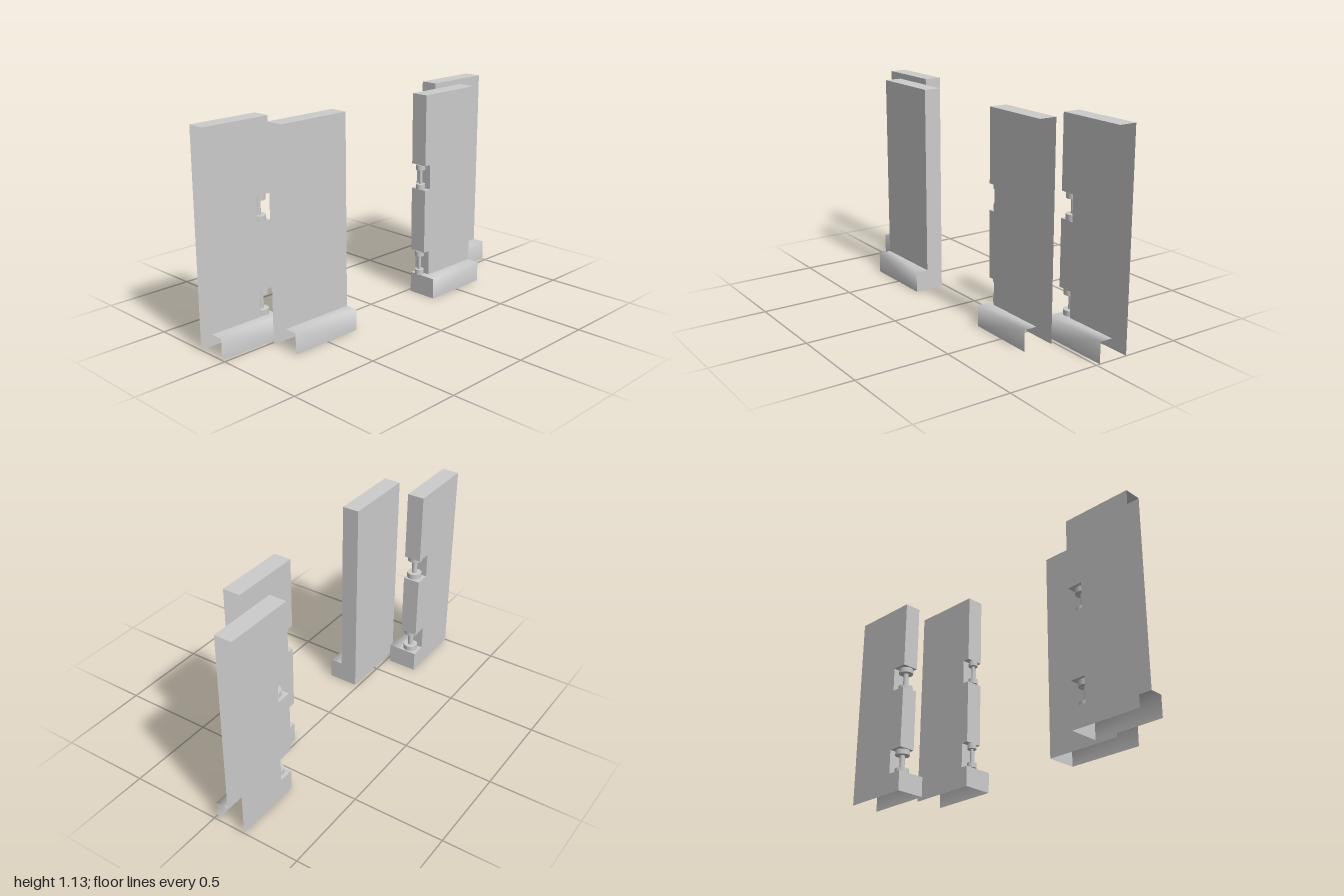
import * as THREE from 'three';
import { mergeGeometries } from 'three/addons/utils/BufferGeometryUtils.js';

const HEIGHT = 1.127, BASE = 0.113, DEPTH = 0.095, LIP = 0.165;
const NOTCHES = [[BASE, 0.25], [0.605, 0.742]];

const material = new THREE.MeshStandardMaterial({ color: 0xcccccc, side: THREE.DoubleSide });

function mesh(geometry, name) {
  const m = new THREE.Mesh(geometry, material);
  m.name = name;
  return m;
}

// Strip of quads swept along x through (y, z) points; smooth across its folds
function strip(points, x0, x1) {
  const position = [], index = [];
  points.forEach(([y, z], i) => {
    position.push(x0, y, z, x1, y, z);
    if (i) index.push(2 * i - 2, 2 * i, 2 * i - 1, 2 * i - 1, 2 * i, 2 * i + 1);
  });
  const g = new THREE.BufferGeometry();
  g.setAttribute('position', new THREE.Float32BufferAttribute(position, 3));
  g.setIndex(index);
  g.computeVertexNormals();
  return g;
}

// Flat face in the xy plane with the notches cut into its inner edge
function wall(width, bottom, notch) {
  const s = new THREE.Shape();
  s.moveTo(0, bottom);
  if (notch) {
    for (const [a, b] of NOTCHES) {
      if (a > bottom) s.lineTo(0, a);
      s.lineTo(notch, a);
      s.lineTo(notch, b);
      s.lineTo(0, b);
    }
  }
  s.lineTo(0, HEIGHT);
  s.lineTo(width, HEIGHT);
  s.lineTo(width, bottom);
  s.closePath();
  return new THREE.ShapeGeometry(s);
}

// Flat face across the depth (z, y outline) at a given x, facing the inner side
function endFace(points, x) {
  const g = new THREE.ShapeGeometry(new THREE.Shape(points.map(([z, y]) => new THREE.Vector2(z, y))));
  return g.rotateY(-Math.PI / 2).translate(x, 0, 0);
}
const endRect = (y0, y1, x) => endFace([[0, y0], [DEPTH, y0], [DEPTH, y1], [0, y1]], x);

function hinge(x, z, r, y0, y1) {
  const g = new THREE.Group();
  g.name = 'hinge';
  const h = 0.029;
  for (const y of [y0 + h / 2, y1 - h / 2]) {
    const knuckle = mesh(new THREE.CylinderGeometry(r, r, h, 24), 'hingeKnuckle');
    knuckle.position.set(x, y, z);
    g.add(knuckle);
  }
  const pin = mesh(new THREE.CylinderGeometry(r * 0.37, r * 0.37, y1 - y0 - 2 * h, 20, 1, true), 'hingePin');
  pin.position.set(x, (y0 + y1) / 2, z);
  g.add(pin);
  return g;
}

// Hollow panel, open at the bottom and outer end; x runs from the inner end outwards
function panel(name, width, notch, pivot) {
  const g = new THREE.Group();
  g.name = name;
  g.add(mesh(wall(width, BASE, notch).translate(0, 0, DEPTH), 'frontFace'));
  const back = wall(width, 0, notch);
  back.index.array.reverse();
  for (let i = 0; i < back.attributes.normal.count; i++) back.attributes.normal.setZ(i, -1);
  g.add(mesh(back, 'backFace'));
  g.add(mesh(strip([[HEIGHT, 0], [HEIGHT, DEPTH]], 0, width), 'topFace'));

  // Softly shaded foot in front of the panel
  g.add(mesh(strip([[BASE, DEPTH], [BASE, LIP], [0, LIP]], 0, width), 'baseLip'));

  // Inner end, interrupted by the notches
  const ends = [endFace([[0, 0], [LIP, 0], [LIP, BASE], [0, BASE]], 0)];
  let y = BASE;
  if (notch) {
    for (const [a, b] of NOTCHES) {
      if (a > y) ends.push(endRect(y, a, 0));
      y = b;
    }
  }
  ends.push(endRect(y, HEIGHT, 0));
  g.add(mesh(mergeGeometries(ends), 'innerEnd'));

  // Notch linings and hinges
  if (notch) {
    for (const [a, b] of NOTCHES) {
      g.add(mesh(endRect(a, b, notch), 'notchWall'));
      g.add(mesh(strip([[a, 0], [a, DEPTH]], 0, notch), 'notchFloor'));
      g.add(mesh(strip([[b, DEPTH], [b, 0]], 0, notch), 'notchCeiling'));
      g.add(hinge(pivot.x, pivot.z, pivot.r, a, b));
    }
  }
  return g;
}

export function createModel() {
  const model = new THREE.Group();
  model.name = 'hingedPanels';
  const large = { x: 0.048, z: 0.057, r: 0.04 };
  const small = { x: 0.014, z: 0.05, r: 0.025 };
  // name, inner end, outer end, back z, notch depth, hinge
  const panels = [
    ['leftFrontPanel', 0.3, 0.69, 0.02, 0.039, small],
    ['leftRearPanel', 0.61, 1, -0.185, 0.084, large],
    ['rightFrontPanel', -0.295, -0.71, 0.02, 0, null],
    ['rightRearPanel', -0.615, -1, -0.185, 0.084, large],
  ];
  for (const [name, inner, outer, z, notch, pivot] of panels) {
    const p = panel(name, Math.abs(outer - inner), notch, pivot);
    p.position.set(inner, 0, z);
    p.scale.x = Math.sign(outer);
    model.add(p);
  }
  return model;
}
